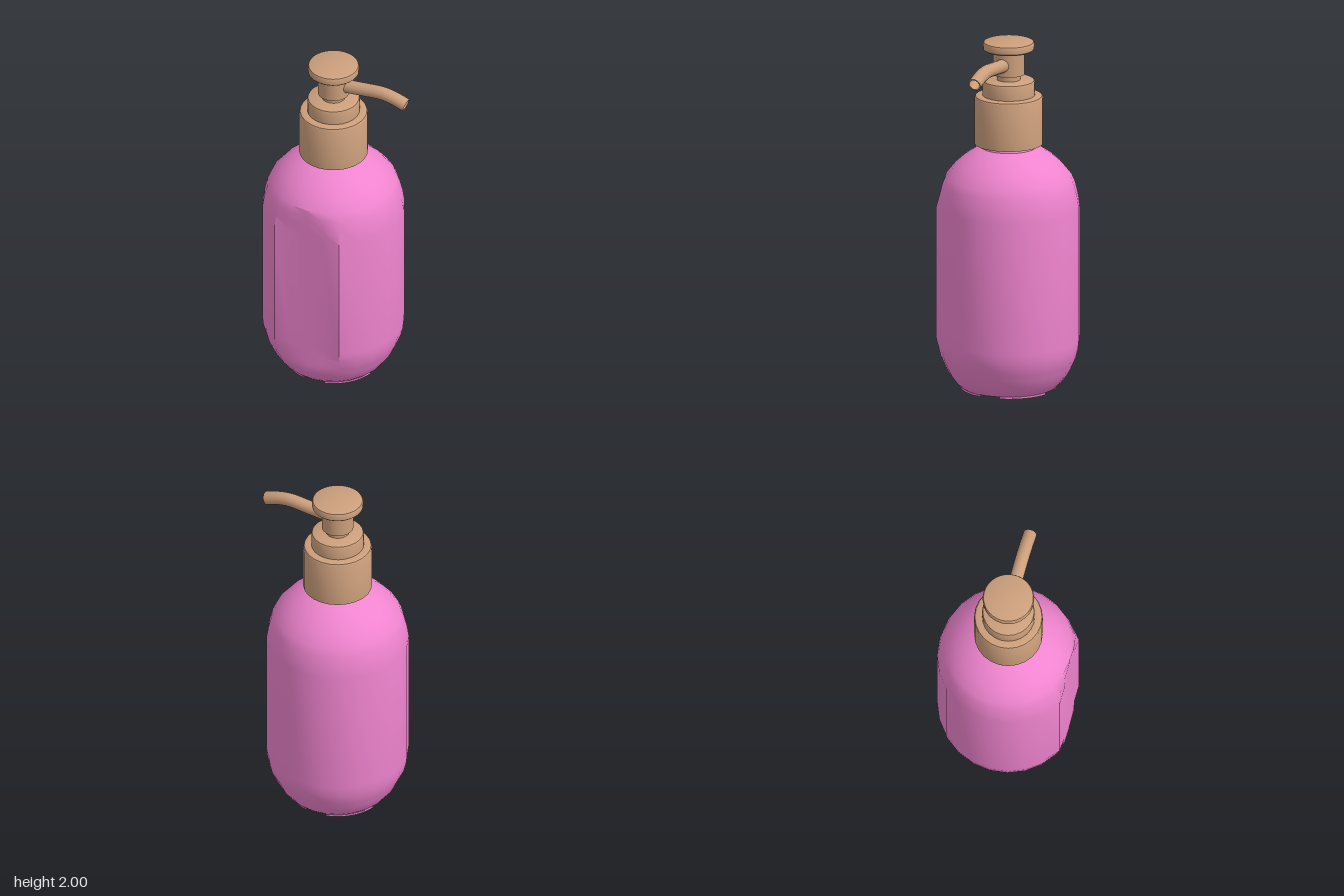
import * as THREE from 'three';
import { toCreasedNormals } from 'three/addons/utils/BufferGeometryUtils.js';

const pink = new THREE.MeshStandardMaterial({ color: 0xf084cf });
const tan = new THREE.MeshStandardMaterial({ color: 0xcc9f7c, side: THREE.DoubleSide });

const lathe = (points, segments) =>
  new THREE.LatheGeometry(points.map(([r, y]) => new THREE.Vector2(r, y)), segments);

function part(name, geometry, material, crease = 0.55) {
  const mesh = new THREE.Mesh(toCreasedNormals(geometry, crease), material);
  mesh.name = name;
  return mesh;
}

// Round bottle with the front of its wall pressed to a flat panel
function bottleGeometry() {
  const geometry = lathe([
    [0, 0.03], [0.235, 0.03], [0.245, 0.012], [0.27, 0.012], [0.3, 0.04], [0.336, 0.09],
    [0.353, 0.125], [0.366, 0.155], [0.38, 0.185], [0.393, 0.24], [0.398, 0.29],
    [0.398, 1.05], [0.388, 1.115], [0.372, 1.18], [0.353, 1.225], [0.3, 1.29],
    [0.25, 1.335], [0.19, 1.375], [0.155, 1.39], [0.145, 1.41], [0.145, 1.6], [0, 1.6],
  ], 24);
  const flat = 0.353;
  const p = geometry.attributes.position;
  for (let i = 0; i < p.count; i++) if (p.getZ(i) > 0.342) p.setZ(i, flat);
  return geometry;
}

// Curved foot under the bottle, one quarter less a gap
function footGeometry() {
  const gap = 0.25, shape = new THREE.Shape();
  shape.absarc(0, 0, 0.268, gap, Math.PI / 2 - gap, false);
  shape.absarc(0, 0, 0.245, Math.PI / 2 - gap, gap, true);
  return new THREE.ExtrudeGeometry(shape, { depth: 0.014, bevelEnabled: false, curveSegments: 8 })
    .rotateX(-Math.PI / 2);
}

export function createModel() {
  const model = new THREE.Group();
  model.name = 'pumpBottle';
  model.position.set(-0.033, 0, 0.022);

  model.add(part('bottle', bottleGeometry(), pink));
  for (let i = 0; i < 4; i++) {
    const foot = part('foot', footGeometry(), pink);
    foot.rotation.y = i * Math.PI / 2;
    model.add(foot);
  }

  // Hollow screw collar with a step on top
  model.add(part('collar', lathe([
    [0.155, 1.6], [0.17, 1.41], [0.192, 1.41], [0.192, 1.675], [0.187, 1.685], [0.177, 1.69],
    [0.147, 1.69], [0.147, 1.764], [0.143, 1.774], [0.134, 1.779], [0, 1.779],
  ], 24), tan));

  // Pump stem, head and press plate
  model.add(part('stem', lathe([[0.066, 1.76], [0.066, 1.83]], 24), tan));
  model.add(part('pumpHead', lathe([
    [0, 1.81], [0.088, 1.81], [0.088, 1.945], [0.134, 1.948], [0.142, 1.956],
    [0.144, 1.985], [0.139, 1.996], [0.13, 2], [0, 2],
  ], 32), tan));

  // Spout reaching sideways and dipping at its open tip
  const path = new THREE.CatmullRomCurve3([
    [0.07, 1.874], [0.18, 1.884], [0.3, 1.893], [0.37, 1.882], [0.448, 1.856],
  ].map(([x, y]) => new THREE.Vector3(x, y, 0)));
  model.add(part('spout', new THREE.TubeGeometry(path, 20, 0.038, 16, false), tan));
  const rim = part('spoutRim', new THREE.RingGeometry(0.031, 0.038, 16), tan);
  rim.position.copy(path.getPoint(1));
  rim.lookAt(path.getPoint(1).add(path.getTangent(1)));
  model.add(rim);
  const bore = new THREE.LineCurve3(path.getPoint(0.8), path.getPoint(1));
  model.add(part('spoutBore', new THREE.TubeGeometry(bore, 1, 0.031, 16, false), tan));

  const root = new THREE.Group();
  root.add(model);
  return root;
}
